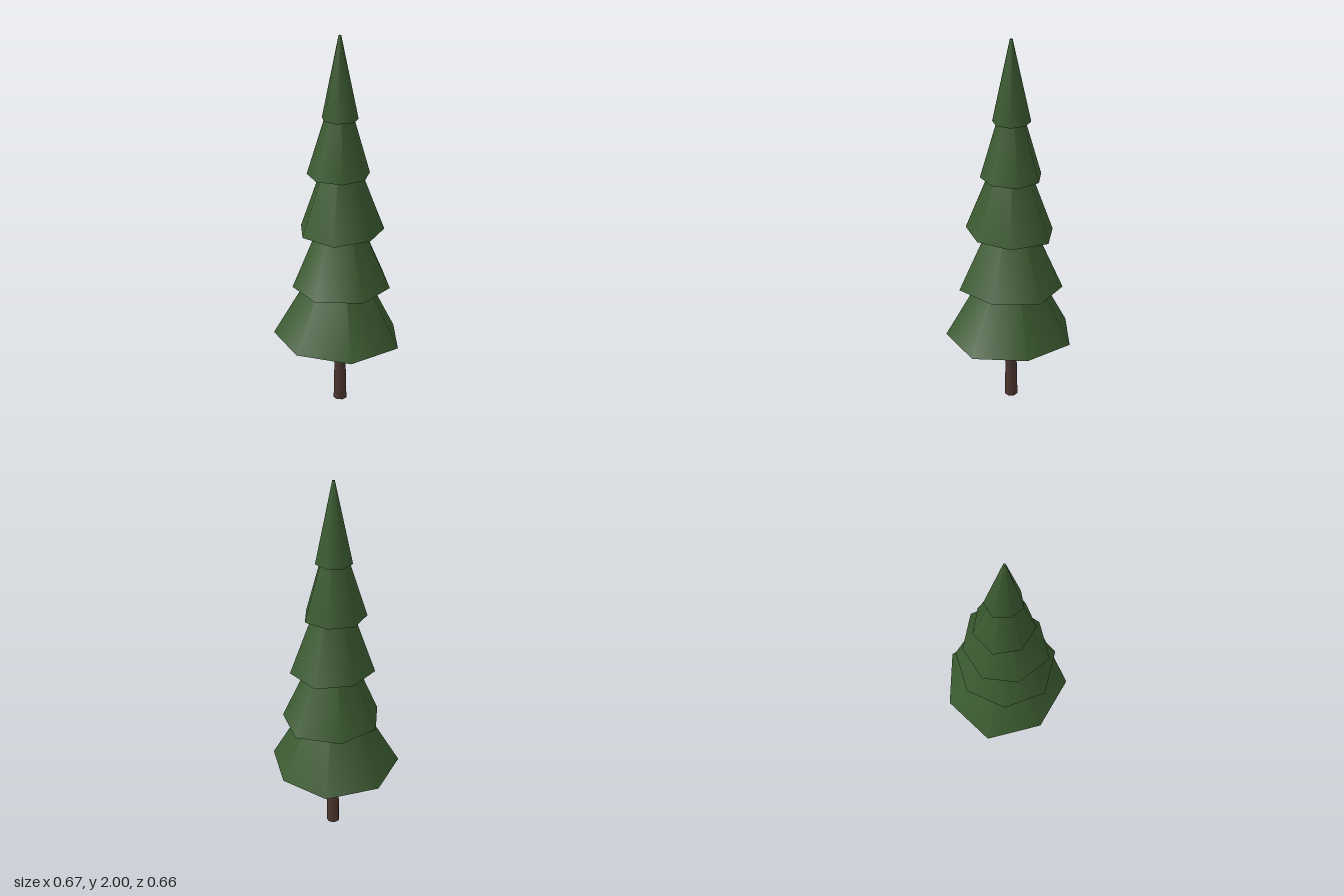
import * as THREE from 'three';

const AXIS = [-0.013, 0]; // x, z of the trunk line

// Each tier: rim height, top height, top scale, and the seven uneven rim corners (x, z), clockwise from above
const TIERS = [
  { y: 0.38, top: 0.96, k: 0.06, rim: [[-0.09, -0.33], [0.18, -0.25], [0.334, -0.005], [0.208, 0.272], [-0.087, 0.327], [-0.337, 0.153], [-0.319, -0.148]] },
  { y: 0.68, top: 1.24, k: 0.06, rim: [[-0.141, -0.243], [0.1, -0.267], [0.245, -0.074], [0.217, 0.167], [-0.003, 0.277], [-0.206, 0.165], [-0.267, -0.052]] },
  { y: 0.98, top: 1.55, k: 0.06, rim: [[0, -0.246], [0.175, -0.137], [0.199, 0.058], [0.08, 0.228], [-0.125, 0.19], [-0.231, 0.032], [-0.175, -0.15]] },
  { y: 1.28, top: 1.8, k: 0.06, rim: [[-0.037, -0.156], [0.095, -0.122], [0.138, 0.01], [0.077, 0.132], [-0.064, 0.153], [-0.175, 0.061], [-0.157, -0.086]] },
  { y: 1.575, top: 2, k: 0.07, rim: [[-0.006, -0.093], [0.064, -0.055], [0.078, 0.025], [0.022, 0.093], [-0.058, 0.077], [-0.112, 0.011], [-0.085, -0.072]] },
];

// Open-bottomed uneven cone with a tiny flat tip
function tierGeometry({ y, top, k, rim }) {
  const n = rim.length;
  const tip = rim.map(([x, z]) => [
    AXIS[0] + (x - AXIS[0]) * k, top, AXIS[1] + (z - AXIS[1]) * k,
  ]);
  const points = [
    ...rim.map(([x, z]) => [x, y, z]),
    ...tip,
    ...tip, // separate ring, so the cap keeps its own normals
    [AXIS[0], top, AXIS[1]],
  ];
  const index = [];
  for (let i = 0; i < n; i++) {
    const j = (i + 1) % n;
    index.push(i, n + i, j, j, n + i, n + j);
    index.push(3 * n, 2 * n + j, 2 * n + i);
  }
  const geometry = new THREE.BufferGeometry();
  geometry.setAttribute('position', new THREE.Float32BufferAttribute(points.flat(), 3));
  geometry.setIndex(index);
  geometry.computeVertexNormals();
  return geometry;
}

export function createModel() {
  const needles = new THREE.MeshStandardMaterial({ color: 0x3a5a30, side: THREE.DoubleSide });
  needles.name = 'needle green';
  const bark = new THREE.MeshStandardMaterial({ color: 0x4c362f });
  bark.name = 'bark brown';

  const tree = new THREE.Group();
  tree.name = 'pineTree';

  // Slim tapering trunk, hidden inside the tiers above the lowest rim
  const trunk = new THREE.Mesh(new THREE.CylinderGeometry(0.014, 0.036, 1.0, 7), bark);
  trunk.name = 'trunk';
  trunk.position.set(AXIS[0], 0.5, AXIS[1]);
  tree.add(trunk);

  // Five stacked tiers of branches
  TIERS.forEach((tier, i) => {
    const mesh = new THREE.Mesh(tierGeometry(tier), needles);
    mesh.name = `branchTier${i + 1}`;
    tree.add(mesh);
  });

  return tree;
}
